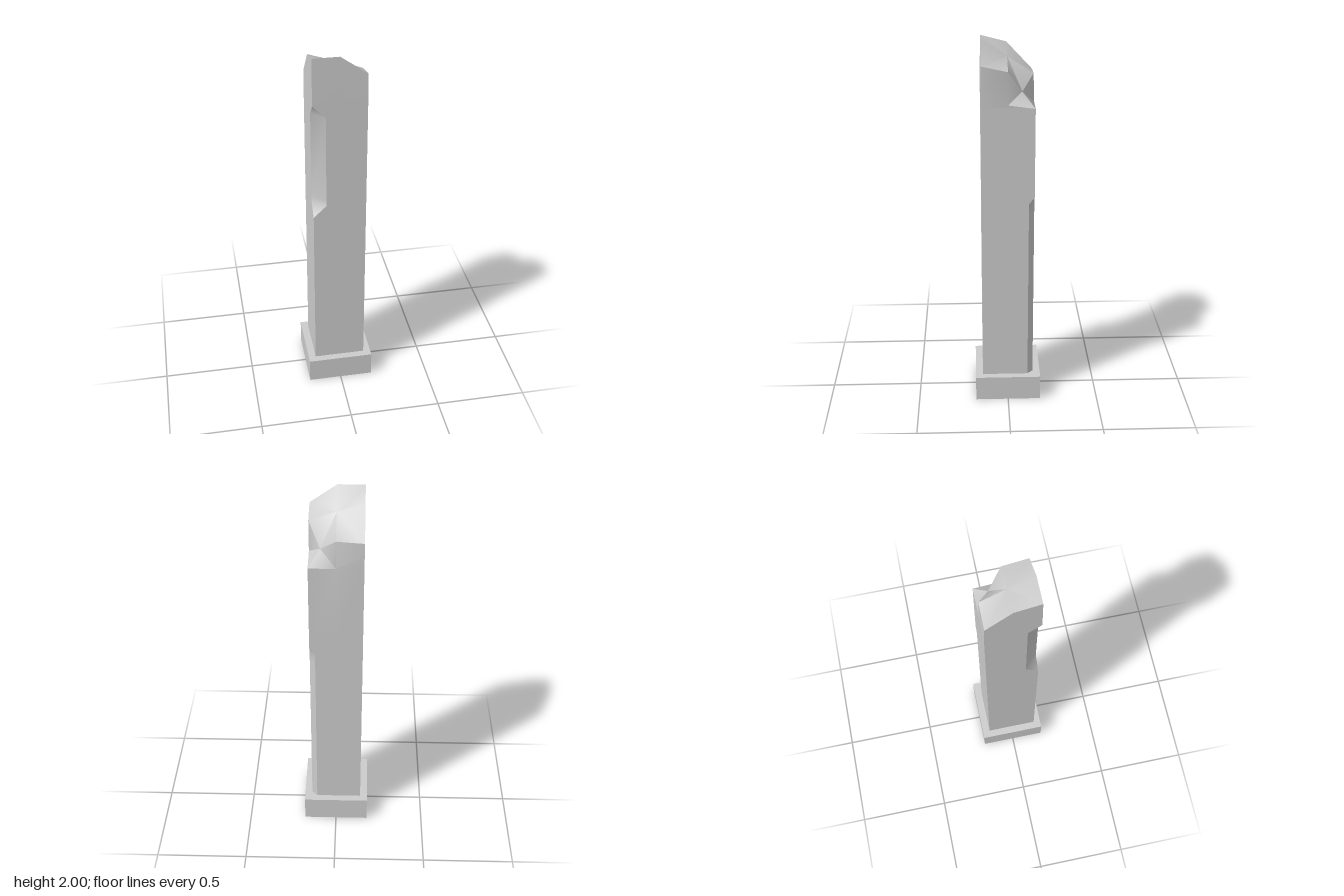
import * as THREE from 'three';
import { toCreasedNormals } from 'three/addons/utils/BufferGeometryUtils.js';

const H = 0.14; // half width of the shaft

// Square section with two corners cut: a at front -x, b at back +x
function ring(y, a, b) {
  return [
    [-H, H - a], [-H + a, H], [0, H], [H, H], [H, 0],
    [H, -H + b], [H - b, -H], [0, -H], [-H, -H], [-H, 0],
  ].map(([x, z], i) => new THREE.Vector3(x, Array.isArray(y) ? y[i] : y, z));
}

function shaftGeometry() {
  const positions = [];
  const tri = (a, b, c) => {
    const area = b.clone().sub(a).cross(c.clone().sub(a)).length();
    if (area > 1e-7) for (const p of [a, b, c]) positions.push(p.x, p.y, p.z);
  };

  // Sections from the base to the broken top
  const shoulder = ring([1.75, 1.75, 1.75, 1.75, 1.7, 1.68, 1.68, 1.68, 1.75, 1.75], 0, 0);
  const crown = ring([2, 2, 2, 1.9, 1.87, 1.68, 1.68, 1.83, 1.82, 1.965], 0, 0);
  crown.forEach((p) => { p.z *= 0.97; });
  const rings = [
    ring(0.14, 0, 0.03), ring(1.1, 0, 0.03), ring(1.165, 0.068, 0.03),
    ring(1.2, 0.068, 0), ring(1.68, 0.068, 0), shoulder, crown,
  ];

  // Side walls, left open where the corner is broken off
  for (let r = 0; r < rings.length - 1; r++) {
    const lo = rings[r], hi = rings[r + 1];
    for (let i = 0; i < 10; i++) {
      if (hi === crown && i >= 4 && i <= 6) continue;
      const j = (i + 1) % 10;
      tri(lo[i], lo[j], hi[j]);
      tri(lo[i], hi[j], hi[i]);
    }
  }

  // Sloping top, and the notch around its inner point
  const fan = (centre, rim) => {
    for (let i = 0; i < rim.length - 1; i++) tri(centre, rim[i], rim[i + 1]);
  };
  const middle = new THREE.Vector3(0, 1.92, 0);
  const notch = new THREE.Vector3(0.08, 1.755, -0.075);
  fan(middle, [crown[9], crown[1], crown[2], crown[3], crown[4], notch, crown[7], crown[8], crown[9]]);
  fan(notch, [crown[4], shoulder[4], shoulder[5], shoulder[7], crown[7]]);

  const geometry = new THREE.BufferGeometry();
  geometry.setAttribute('position', new THREE.Float32BufferAttribute(positions, 3));
  return toCreasedNormals(geometry, 0.7);
}

export function createModel() {
  const group = new THREE.Group();
  group.name = 'brokenPillar';
  const stone = new THREE.MeshStandardMaterial({ color: 0xcccccc });

  const base = new THREE.Mesh(new THREE.BoxGeometry(0.36, 0.14, 0.36), stone);
  base.name = 'base';
  base.position.y = 0.07;

  const shaft = new THREE.Mesh(shaftGeometry(), stone);
  shaft.name = 'shaft';

  group.add(base, shaft);
  return group;
}
